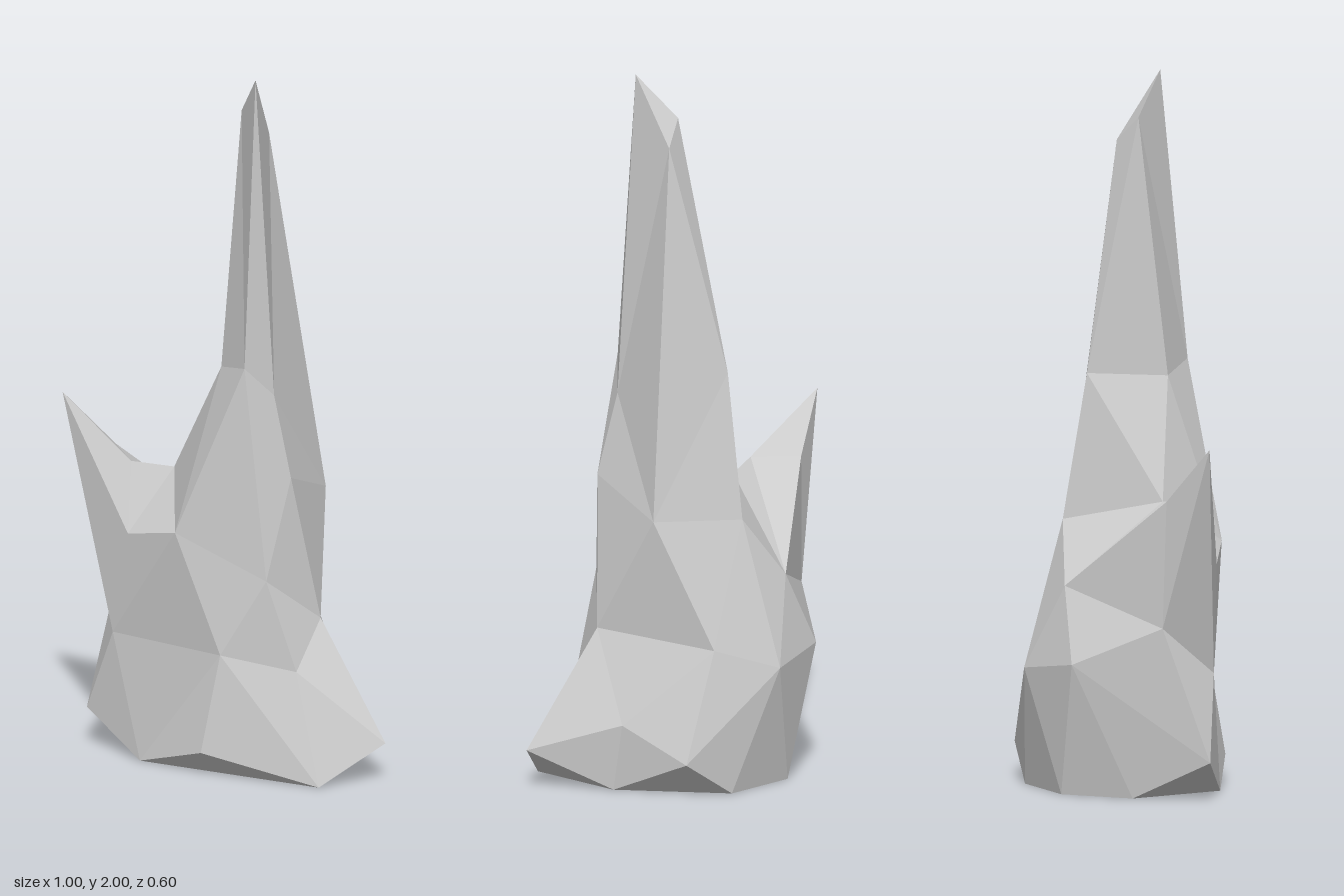
import * as THREE from 'three';

// Corners of the splintered stump, grouped by level
const corners = {
  // ground outline
  b0: [-0.30, 0, -0.03], b1: [-0.18, 0, -0.21], b2: [0.04, 0, -0.27],
  b3: [0.30, 0, -0.06], b4: [0.37, 0, 0.23], b5: [-0.20, 0, 0.24],
  // flared root tips
  rootRight: [-0.41, 0.11, 0.17], rootBack: [0.19, 0.10, -0.27],
  rootLeft: [0.50, 0.11, 0.08], rootFront: [0.03, 0.07, 0.30], rootDip: [0.29, 0.19, -0.09],
  // waist
  m0: [-0.31, 0.35, 0.20], m1: [-0.38, 0.49, 0.04], m2: [-0.28, 0.38, -0.20],
  m3: [-0.10, 0.35, -0.30], m4: [0.08, 0.41, -0.24], m6: [0.28, 0.44, 0.06],
  m7: [0.27, 0.31, 0.18], m8: [0.07, 0.35, 0.26],
  // broken rim
  tip: [-0.50, 1.01, 0.15], u1: [-0.18, 0.59, -0.20], u2: [-0.05, 0.76, -0.18],
  u3: [0.20, 0.77, -0.11], u4: [0.23, 0.86, 0.14], u5: [0.19, 0.57, 0.21],
  u6: [-0.07, 0.69, 0.27], u7: [-0.25, 0.65, 0.22], u8: [-0.28, 0.84, 0.15],
  u9: [-0.18, 0.82, 0.08], v9: [-0.385, 0.85, 0.05],
  // tall splinter
  peak: [0.11, 2.00, 0.13], s1: [0.02, 1.88, 0.05], s2: [0.08, 1.81, 0],
  s3: [-0.045, 1.17, -0.11], s4: [0, 1.15, 0.13], s6: [0.12, 1.18, 0.21], s7: [0.17, 1.09, 0.13],
};
const point = (name) => new THREE.Vector3(...corners[name]);

// One triangle; collapsed ones are dropped
function triangle(out, a, b, c) {
  if (a !== b && b !== c && c !== a) out.push(point(a), point(b), point(c));
}

// Skin between two rows of corners, each quad split along its shorter diagonal
function strip(out, lower, upper, closed = true) {
  const lo = lower.split(' '), up = upper.split(' ');
  const n = lo.length;
  for (let i = 0; i < (closed ? n : n - 1); i++) {
    const j = (i + 1) % n;
    const [a, b, c, d] = [lo[i], lo[j], up[j], up[i]];
    if (point(a).distanceTo(point(c)) <= point(b).distanceTo(point(d))) {
      triangle(out, a, b, c);
      triangle(out, a, c, d);
    } else {
      triangle(out, a, b, d);
      triangle(out, b, c, d);
    }
  }
}

export function createModel() {
  const group = new THREE.Group();
  group.name = 'brokenStump';
  const material = new THREE.MeshStandardMaterial({ color: 0xcccccc, flatShading: true });
  const add = (name, points) => {
    const geometry = new THREE.BufferGeometry().setFromPoints(points);
    geometry.computeVertexNormals();
    const mesh = new THREE.Mesh(geometry, material);
    mesh.name = name;
    group.add(mesh);
  };

  // Rows run front, left, back, right
  const ground = 'b5 b5 b4 b3 b3 b3 b2 b2 b1 b0 b0 b0 b0';
  const roots = 'b5 rootFront b4 rootLeft rootLeft rootDip rootBack b2 b1 b0 rootRight rootRight rootRight';
  const waist = 'm0 m8 m8 m7 m6 m6 m4 m3 m3 m2 m1 m1 m0';
  const rim = 'u7 u6 u5 u5 u4 u4 u3 u2 u1 u1 v9 tip tip';

  // Flared foot with its underside
  const foot = [];
  strip(foot, ground, roots);
  strip(foot, roots, waist);
  const sole = ['b5', 'b4', 'b3', 'b2', 'b1', 'b0'];
  for (let i = 1; i < 5; i++) triangle(foot, sole[0], sole[i + 1], sole[i]);
  add('rootFlare', foot);

  // Trunk wall up to the broken rim
  const trunk = [];
  strip(trunk, waist, rim);
  add('trunk', trunk);

  // Jagged hollow beside the small splinter
  const notch = [];
  strip(notch, 'u2 u1 u1 v9 tip u7 u7 u6', 'u9 u9 u8 u8 u8 u8 u9 u9', false);
  add('brokenNotch', notch);

  // Tall splinter with a slanted end
  const splinter = [];
  strip(splinter, 'u6 u5 u4 u3 u2 u9', 's6 s6 s7 u3 s3 s4');
  strip(splinter, 's6 s7 u3 s3 s4', 'peak peak s2 s1 s1');
  triangle(splinter, 'peak', 's2', 's1');
  add('tallSplinter', splinter);

  return group;
}
